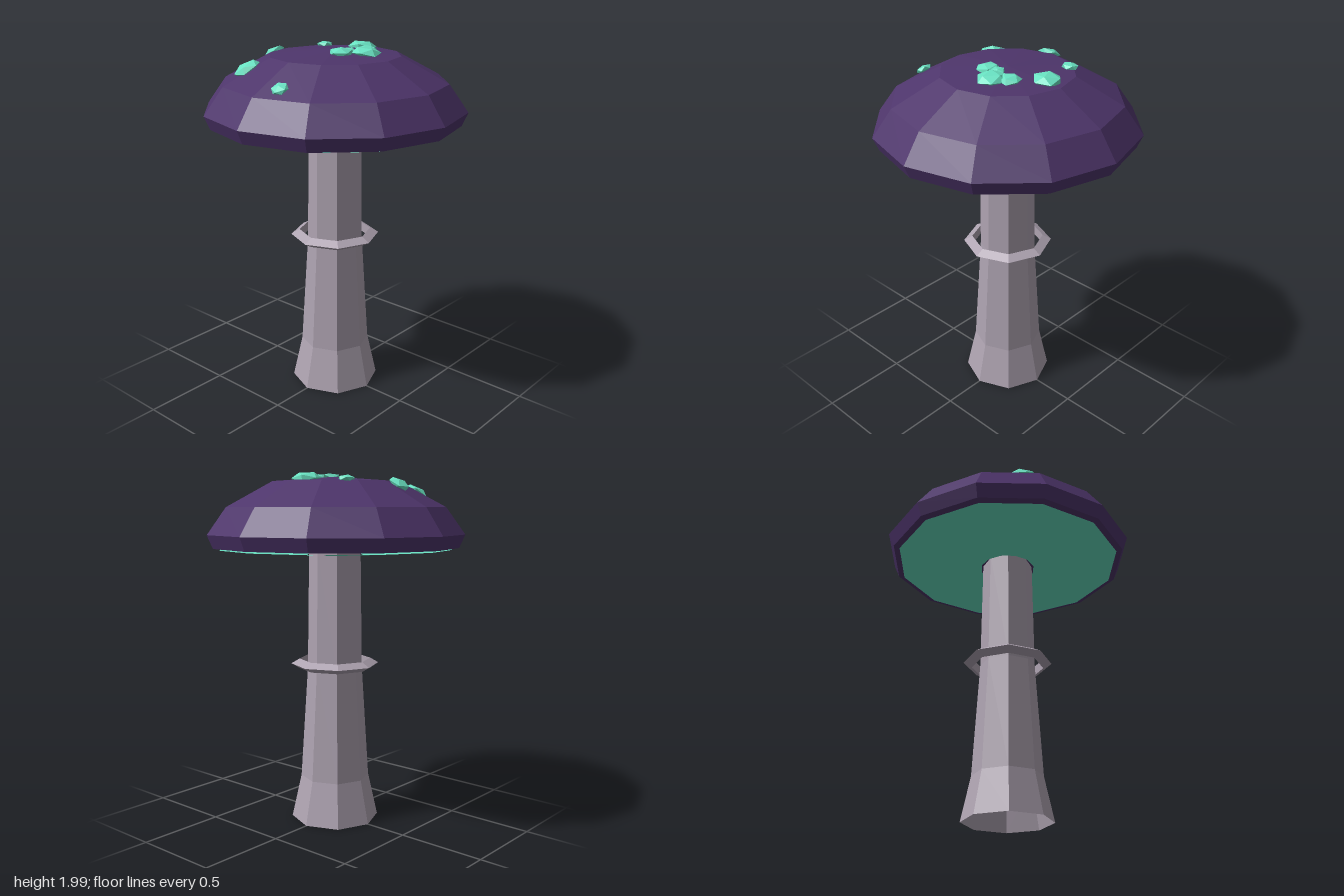
import * as THREE from 'three';

const mat = (name, color, side = THREE.FrontSide) => {
  const m = new THREE.MeshStandardMaterial({ color, flatShading: true, side });
  m.name = name;
  return m;
};

// Lathe from a bottom-to-top profile of [radius, height] pairs
const lathe = (profile, sides) =>
  new THREE.LatheGeometry(profile.map(([r, y]) => new THREE.Vector2(r, y)), sides);

// Cap profile: shallow underside cone, rim, then the dome
const CAP = [[0, 1.55], [0.695, 1.583], [0.727, 1.657], [0.62, 1.805], [0.36, 1.945], [0, 1.972]];

// Height and slope of the cap's upper surface at a given radius
function capSurface(r) {
  for (let i = 2; i < CAP.length - 1; i++) {
    const [r0, y0] = CAP[i], [r1, y1] = CAP[i + 1];
    if (r <= r0 && r >= r1) {
      const slope = (y1 - y0) / (r1 - r0);
      return { y: y0 + (r - r0) * slope, slope };
    }
  }
}

export function createModel() {
  const group = new THREE.Group();
  const purple = mat('cap purple', 0x4e356b);
  const mint = mat('glowing mint', 0x69e2c2, THREE.DoubleSide);
  const grey = mat('stem grey', 0xaea3b1, THREE.DoubleSide);

  const add = (name, geometry, material) => {
    const mesh = new THREE.Mesh(geometry, material);
    mesh.name = name;
    group.add(mesh);
    return mesh;
  };

  // Eight-sided hollow stem, flared at the foot
  add('stem', lathe([[0.252, 0], [0.197, 0.25], [0.156, 0.9], [0.146, 1.57]], 8), grey);

  // Loose triangular-section ring around the stem
  const ring = add('stemRing', new THREE.TorusGeometry(0.22, 0.032, 3, 8).rotateX(-Math.PI / 2), grey);
  ring.position.y = 0.918;

  // Twelve-sided cap and the shallow gill cone just beneath it
  add('cap', lathe(CAP, 12), purple);
  add('gills', lathe([[0.16, 1.542], [0.66, 1.573]], 12), mint);

  // Flattened spots [x, z, radius] lying on the cap
  const spots = [
    [-0.388, -0.278, 0.079], [-0.06, -0.4, 0.065], [0.205, -0.258, 0.048],
    [0.255, -0.02, 0.083], [-0.535, 0.11, 0.048], [-0.055, 0.09, 0.067],
    [0.053, 0.173, 0.083], [0.13, 0.12, 0.064], [0.01, 0.09, 0.046],
  ];
  const up = new THREE.Vector3(0, 1, 0);
  spots.forEach(([x, z, size], i) => {
    const r = Math.hypot(x, z);
    const { y, slope } = capSurface(r);
    const geo = new THREE.IcosahedronGeometry(size, 0);
    geo.rotateX(0.5 + i * 0.9).rotateY(i * 1.7).scale(1, 0.4, 1);
    const spot = add('spot' + (i + 1), geo, mint);
    spot.position.set(x, y + 0.006, z);
    const normal = new THREE.Vector3(-slope * x / r, 1, -slope * z / r).normalize();
    spot.quaternion.setFromUnitVectors(up, normal);
  });

  return group;
}
